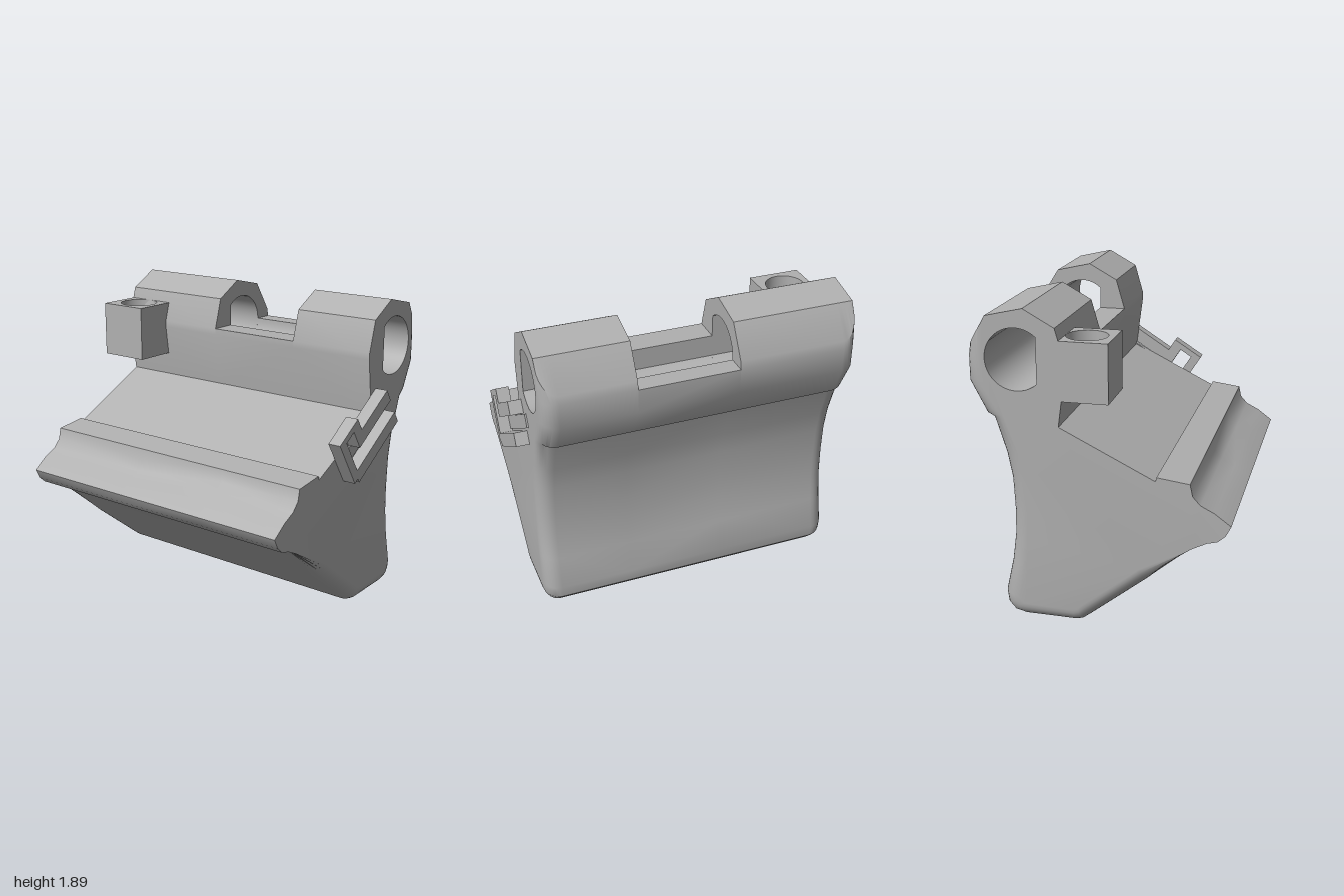
import * as THREE from 'three';
import { toCreasedNormals } from 'three/addons/utils/BufferGeometryUtils.js';

const V = (x, y) => new THREE.Vector2(x, y);

// Body section as [z, y, dz, dy]; dz, dy is the inset that rounds the outer ends.
const LOBE = [[-0.176, 1.6], [-0.23, 1.79], [-0.41, 1.89], [-0.63, 1.84], [-0.75, 1.65, 0.1, 0.15]];
const LOWER = [
  [-0.76, 1.6, 0.1, 0], [-0.76, 1.45, 0.1, 0.02], [-0.66, 1.26, 0.07, 0.06], [-0.62, 1.245, 0.075, 0.02],
  [-0.555, 1.03, 0.1, 0], [-0.527, 0.88, 0.1, 0], [-0.518, 0.68, 0.1, 0], [-0.522, 0.52, 0.1, 0],
  [-0.545, 0.35, 0.1, 0], [-0.59, 0.15, 0.1, 0], [-0.58, 0.07, 0.095, 0.055],
  [-0.535, 0.02, 0.06, 0.088], [-0.46, 0.002, 0.01, 0.098],
  [-0.15, 0, -0.01, 0.09], [-0.11, 0.01, -0.02, 0.09], [-0.07, 0.04, -0.03, 0.09],
  [0.27, 0.31, -0.03, 0.09], [0.55, 0.565],
  [0.63, 0.605], [0.69, 0.62], [0.735, 0.66], [0.765, 0.72], [0.67, 0.79], [0.59, 0.83],
  [0.545, 0.88], [0.53, 0.95], [0.34, 0.975], [0.335, 0.95], [-0.22, 1.225], [-0.175, 1.56],
];

// Bore with one flat side, running clockwise from the lower end of the flat.
const bore = (end, n) => Array.from({ length: n + 1 }, (_, i) => {
  const a = -0.84 + (end + 0.84) * i / n;
  return V(-0.46 + 0.18 * Math.cos(a), 1.6 + 0.18 * Math.sin(a));
});

// Turns a (z, y, depth) geometry so that depth runs toward -x.
const place = (g) => toCreasedNormals(g.rotateY(-Math.PI / 2), 0.6);

// Skins matching rings [depth, contour, hole] and closes both ends.
function loft(rings) {
  const pos = [];
  const put = (p, d) => pos.push(p.x, p.y, d);
  for (let k = 0; k + 1 < rings.length; k++) {
    const [d0, ...a] = rings[k], [d1, ...b] = rings[k + 1];
    a.forEach((loop, l) => loop.forEach((p, i) => {
      const j = (i + 1) % loop.length, q = loop[j], r = b[l][j], s = b[l][i];
      put(p, d0); put(q, d0); put(r, d1);
      put(p, d0); put(r, d1); put(s, d1);
    }));
  }
  [rings[0], rings[rings.length - 1]].forEach(([d, c, h], end) => {
    const pts = [...c, ...h];
    for (const [i, j, k] of THREE.ShapeUtils.triangulateShape(c.slice(), [h.slice()])) {
      for (const n of end ? [i, j, k] : [k, j, i]) put(pts[n], d);
    }
  });
  const g = new THREE.BufferGeometry();
  g.setAttribute('position', new THREE.Float32BufferAttribute(pos, 3));
  return place(g);
}

// Outer body part whose outer end is rounded along the back and bottom edges.
function endPiece(outer, inner) {
  const profile = [...LOBE, ...LOWER], hole = bore(0.84 - 2 * Math.PI, 32);
  const contour = (f) => profile.map(([z, y, dz = 0, dy = 0]) => V(z + f * dz, y + f * dy));
  const dir = Math.sign(inner - outer), rings = [];
  for (let i = 0; i <= 7; i++) {
    const t = i / 7 * Math.PI / 2;
    rings.push([outer + dir * 0.1 * (1 - Math.cos(t)), contour(1 - Math.sin(t)), hole]);
  }
  rings.push([inner, contour(0), hole]);
  return loft(dir > 0 ? rings : rings.reverse());
}

const extrude = (points, depth, start, hole) => {
  const shape = new THREE.Shape(points);
  if (hole) shape.holes.push(hole);
  return new THREE.ExtrudeGeometry(shape, { depth, bevelEnabled: false, curveSegments: 32 })
    .translate(0, 0, start);
};

export function createModel() {
  const group = new THREE.Group();
  const grey = new THREE.MeshStandardMaterial({ color: 0xb0b0b0 });
  const add = (name, geometry) => {
    const mesh = new THREE.Mesh(geometry, grey);
    mesh.name = name;
    group.add(mesh);
  };

  // Body: two full end pieces and a middle cut off at the bore axis
  add('bodyLeft', endPiece(-0.92, -0.37));
  add('bodyRight', endPiece(1, 0.245));
  const middle = [V(-0.176, 1.6), V(-0.34, 1.6), ...bore(-Math.PI, 20),
    ...LOWER.map(([z, y]) => V(z, y))];
  add('bodyMiddle', place(extrude(middle, 0.615, -0.37)));

  // Socket block with a vertical round hole
  const round = new THREE.Path().absarc(-0.838, 0.09, 0.12, 0, Math.PI * 2, true);
  const square = [V(-1, -0.07), V(-0.675, -0.07), V(-0.675, 0.22), V(-1, 0.22)];
  const socket = extrude(square, 0.345, 0, round).rotateX(-Math.PI / 2).translate(0, 1.375, 0);
  add('socketBlock', toCreasedNormals(socket, 0.6));

  // Side clip, drawn along the slope (u) and away from it (v)
  const slope = (list) => list.map(([u, v]) => V(0.07 - 0.84 * u + 0.54 * v, 0.87 + 0.54 * u + 0.84 * v)).reverse();
  const clip = slope([
    [0, 0], [0.039, 0], [0.039, -0.03], [0.552, -0.03], [0.552, 0.052], [0.06, 0.052],
    [0.06, 0.29], [0.15, 0.29], [0.15, 0.155], [0.552, 0.155], [0.552, 0.239],
    [0.221, 0.239], [0.221, 0.328], [0, 0.328],
  ]);
  add('sideClip', place(extrude(clip, 0.08, -1)));
  const tongue = slope([[0.06, 0.067], [0.622, 0.067], [0.622, 0.15], [0.06, 0.15]]);
  add('clipTongue', place(extrude(tongue, 0.035, -0.93)));

  return group;
}
